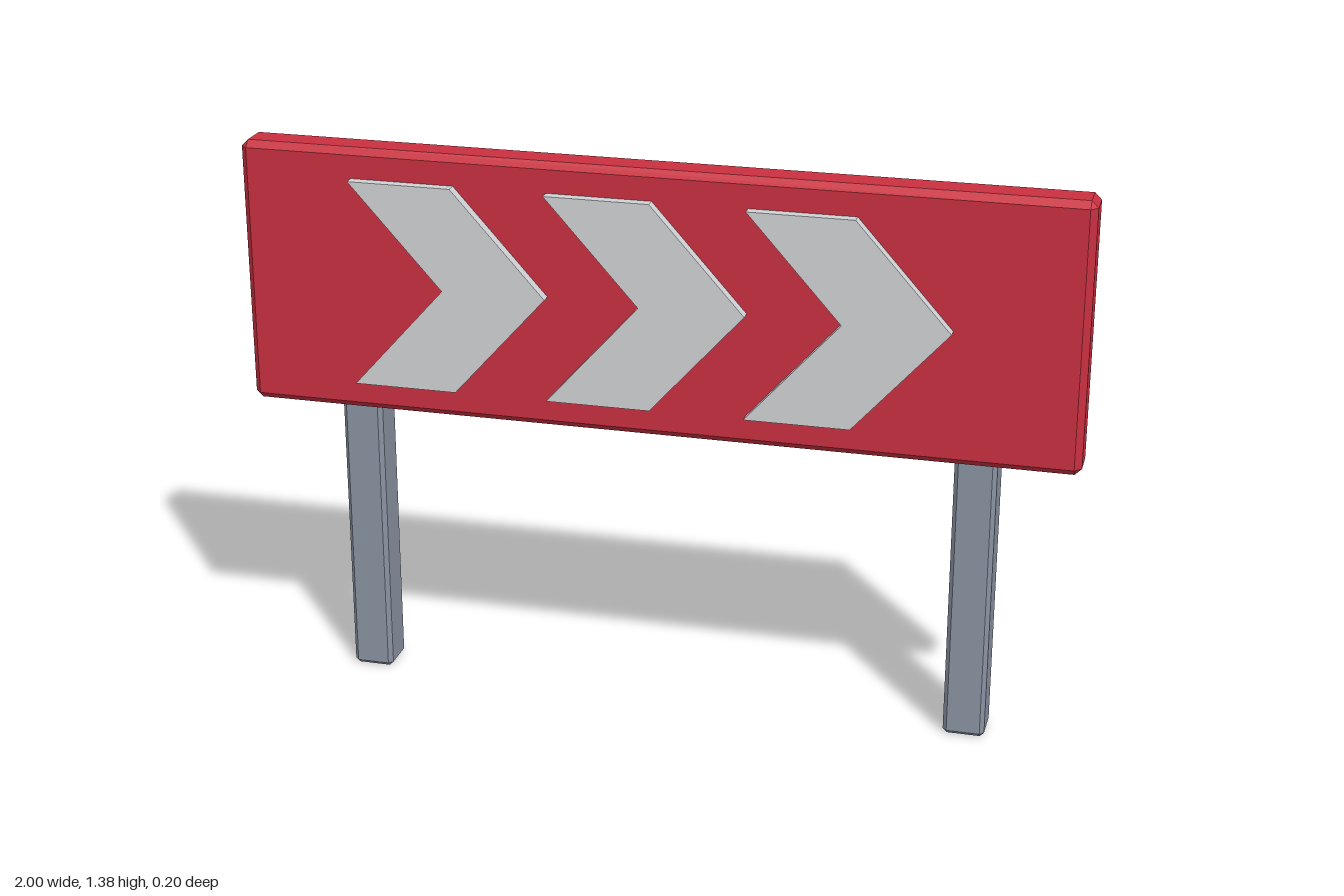
import * as THREE from 'three';
import { ConvexGeometry } from 'three/addons/geometries/ConvexGeometry.js';

// Box with flat chamfers on every edge, spanning min..max
function chamferedBox(min, max, c) {
  const size = max.map((v, i) => (v - min[i]) / 2);
  const mid = max.map((v, i) => (v + min[i]) / 2);
  const points = [];
  for (const sx of [-1, 1]) for (const sy of [-1, 1]) for (const sz of [-1, 1]) {
    const s = [sx, sy, sz];
    // each corner becomes three points, one on each adjoining face
    for (let face = 0; face < 3; face++) {
      const p = s.map((sign, i) => mid[i] + sign * (size[i] - (i === face ? 0 : c)));
      points.push(new THREE.Vector3(...p));
    }
  }
  return new ConvexGeometry(points);
}

export function createModel() {
  const group = new THREE.Group();
  const red = new THREE.MeshStandardMaterial({ color: 0xc93040 });
  red.name = 'signRed';
  const white = new THREE.MeshStandardMaterial({ color: 0xd1d2d5 });
  white.name = 'arrowPaleGrey';
  const grey = new THREE.MeshStandardMaterial({ color: 0x8a93a2 });
  grey.name = 'postGrey';

  const add = (name, geometry, material) => {
    const mesh = new THREE.Mesh(geometry, material);
    mesh.name = name;
    group.add(mesh);
    return mesh;
  };

  // Sign board
  add('board', chamferedBox([-1, 0.73, -0.024], [1, 1.376, 0.074], 0.016), red);

  // Two posts behind the board
  for (const [name, x] of [['rightPost', -0.752], ['leftPost', 0.752]]) {
    add(name, chamferedBox([x - 0.05, 0, -0.1], [x + 0.05, 0.75, 0], 0.01), grey);
  }

  // Three raised chevrons pointing to the model's left
  const chevron = new THREE.Shape([
    [0, 0.25], [0.25, 0.25], [0.474, 0], [0.25, -0.25], [0, -0.25], [0.224, 0],
  ].map(([x, y]) => new THREE.Vector2(x, y)));
  const chevronGeometry = new THREE.ExtrudeGeometry(chevron, { depth: 0.03, bevelEnabled: false });
  for (let i = 0; i < 3; i++) {
    add('chevron' + (i + 1), chevronGeometry, white).position.set(-0.725 + i * 0.474, 1.054, 0.07);
  }

  return group;
}
